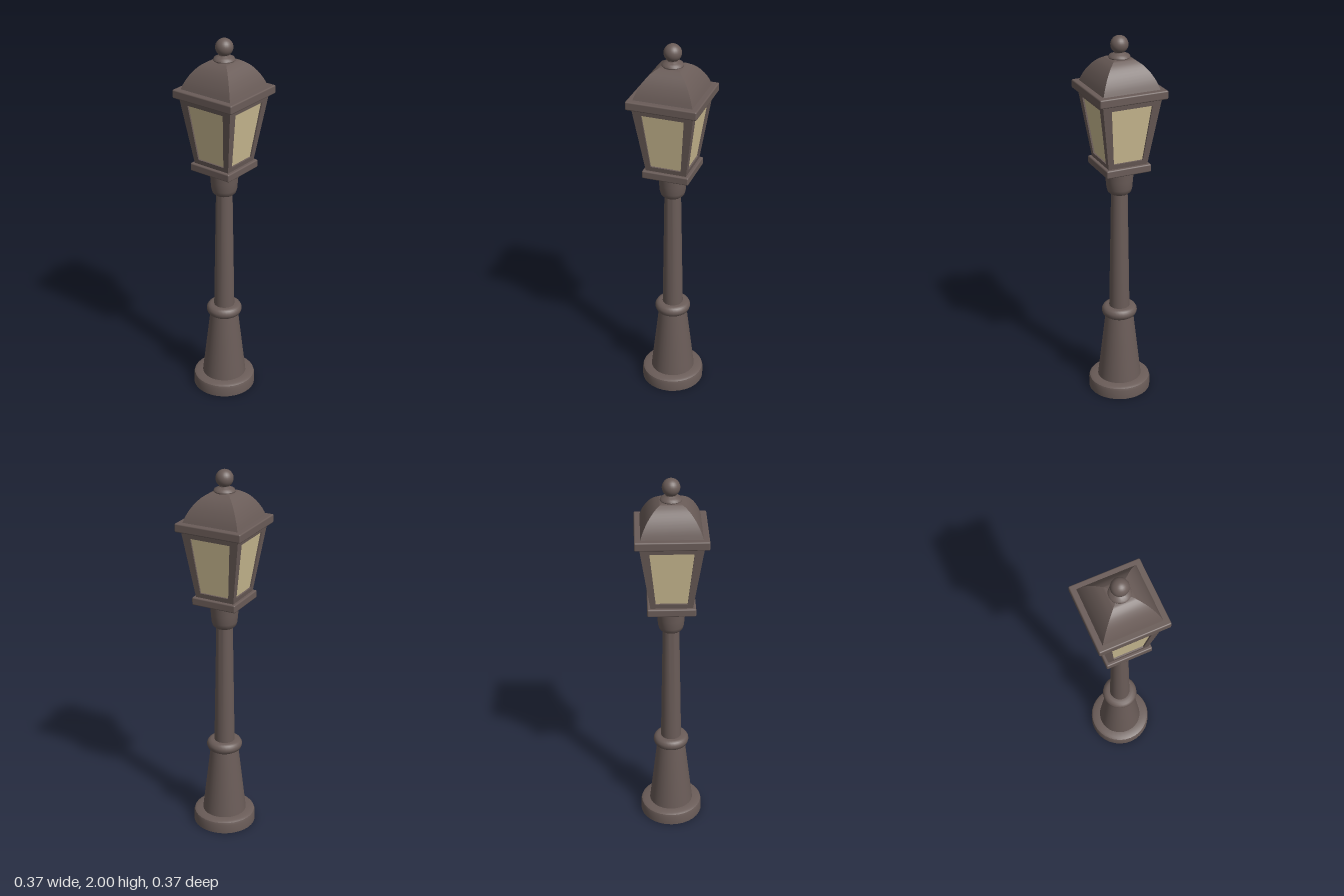
import * as THREE from 'three';
import { toCreasedNormals } from 'three/addons/utils/BufferGeometryUtils.js';
import { RoundedBoxGeometry } from 'three/addons/geometries/RoundedBoxGeometry.js';

const metal = new THREE.MeshStandardMaterial({ color: 0x6a5c58 });
metal.name = 'bronze metal';
const glass = new THREE.MeshStandardMaterial({ color: 0xcfbf95 });
glass.name = 'warm glass';

const v2 = (p) => new THREE.Vector2(p[0], p[1]);

function add(parent, name, geometry, material = metal) {
  const mesh = new THREE.Mesh(geometry, material);
  mesh.name = name;
  parent.add(mesh);
  return mesh;
}

// Turned part from [radius, height] points, bottom to top
function turned(parent, name, points, sides = 32) {
  return add(parent, name, toCreasedNormals(new THREE.LatheGeometry(points.map(v2), sides), 0.7));
}

function slab(parent, name, half, bottom, top) {
  const geo = new RoundedBoxGeometry(half * 2, top - bottom, half * 2, 2, 0.007);
  add(parent, name, geo).position.y = (bottom + top) / 2;
}

// Trapezoid outline: half width and height at the bottom and top
const trapezoid = (w0, y0, w1, y1, Kind) =>
  new Kind([[-w0, y0], [w0, y0], [w1, y1], [-w1, y1]].map(v2));

export function createModel() {
  const lamp = new THREE.Group();
  lamp.name = 'streetLamp';

  // Post
  turned(lamp, 'foot', [[0, 0], [0.168, 0], [0.168, 0.05], [0.164, 0.063], [0.152, 0.07], [0.11, 0.072]]);
  turned(lamp, 'pedestal', [[0.119, 0.065], [0.075, 0.45]]);
  turned(lamp, 'ring', [[0.05, 0.442], [0.076, 0.444], [0.089, 0.453], [0.095, 0.47],
    [0.094, 0.482], [0.086, 0.496], [0.072, 0.502], [0.05, 0.502]]);
  turned(lamp, 'pole', [[0.055, 0.49], [0.043, 1.18]]);
  turned(lamp, 'collar', [[0.035, 1.163], [0.05, 1.165], [0.061, 1.175], [0.067, 1.195],
    [0.071, 1.24], [0.076, 1.31]]);

  // Lantern plates
  slab(lamp, 'lanternFloor', 0.123, 1.304, 1.346);
  slab(lamp, 'eave', 0.183, 1.702, 1.747);

  // Four leaning frames with recessed glass
  const y0 = 1.34, y1 = 1.71, w0 = 0.106, w1 = 0.16, depth = 0.016;
  const lean = Math.atan2(w1 - w0, y1 - y0);
  const length = Math.hypot(w1 - w0, y1 - y0);
  const frameShape = trapezoid(w0, 0, w1, length, THREE.Shape);
  frameShape.holes.push(trapezoid(0.08, 0.031, 0.11, 0.334, THREE.Path));
  const frameGeo = new THREE.ExtrudeGeometry(frameShape, { depth, bevelEnabled: false });
  frameGeo.translate(0, 0, -depth);
  const glassGeo = new THREE.ShapeGeometry(trapezoid(0.084, 0.02, 0.116, 0.345, THREE.Shape));
  glassGeo.translate(0, 0, -0.008);

  // Roof side: a curved strip that narrows towards the top
  const slope = new THREE.SplineCurve([[0.154, 1.744], [0.139, 1.785], [0.115, 1.829],
    [0.085, 1.865], [0.052, 1.888]].map(v2)).getPoints(12);
  slope.push(new THREE.Vector2(0, 1.894));
  const roofGeo = new THREE.PlaneGeometry(2, 1, 1, slope.length - 1);
  const pos = roofGeo.attributes.position;
  for (let i = 0; i < pos.count; i++) {
    const p = slope[slope.length - 1 - Math.floor(i / 2)];
    pos.setXYZ(i, pos.getX(i) * p.x, p.y, p.x);
  }
  roofGeo.computeVertexNormals();

  for (let i = 0; i < 4; i++) {
    const side = new THREE.Group();
    side.name = 'lanternSide' + (i + 1);
    side.rotation.y = i * Math.PI / 2;
    const panel = new THREE.Group();
    panel.name = 'windowPanel';
    panel.position.set(0, y0, w0);
    panel.rotation.x = lean;
    add(panel, 'windowFrame', frameGeo);
    add(panel, 'windowGlass', glassGeo, glass);
    side.add(panel);
    add(side, 'roofSide', roofGeo);
    lamp.add(side);
  }

  // Finial
  turned(lamp, 'finialNeck', [[0.045, 1.878], [0.053, 1.884], [0.055, 1.893], [0.05, 1.902],
    [0.036, 1.908], [0.026, 1.914], [0.024, 1.925]], 24);
  add(lamp, 'finialBall', new THREE.SphereGeometry(0.045, 24, 16)).position.y = 1.955;

  return lamp;
}
